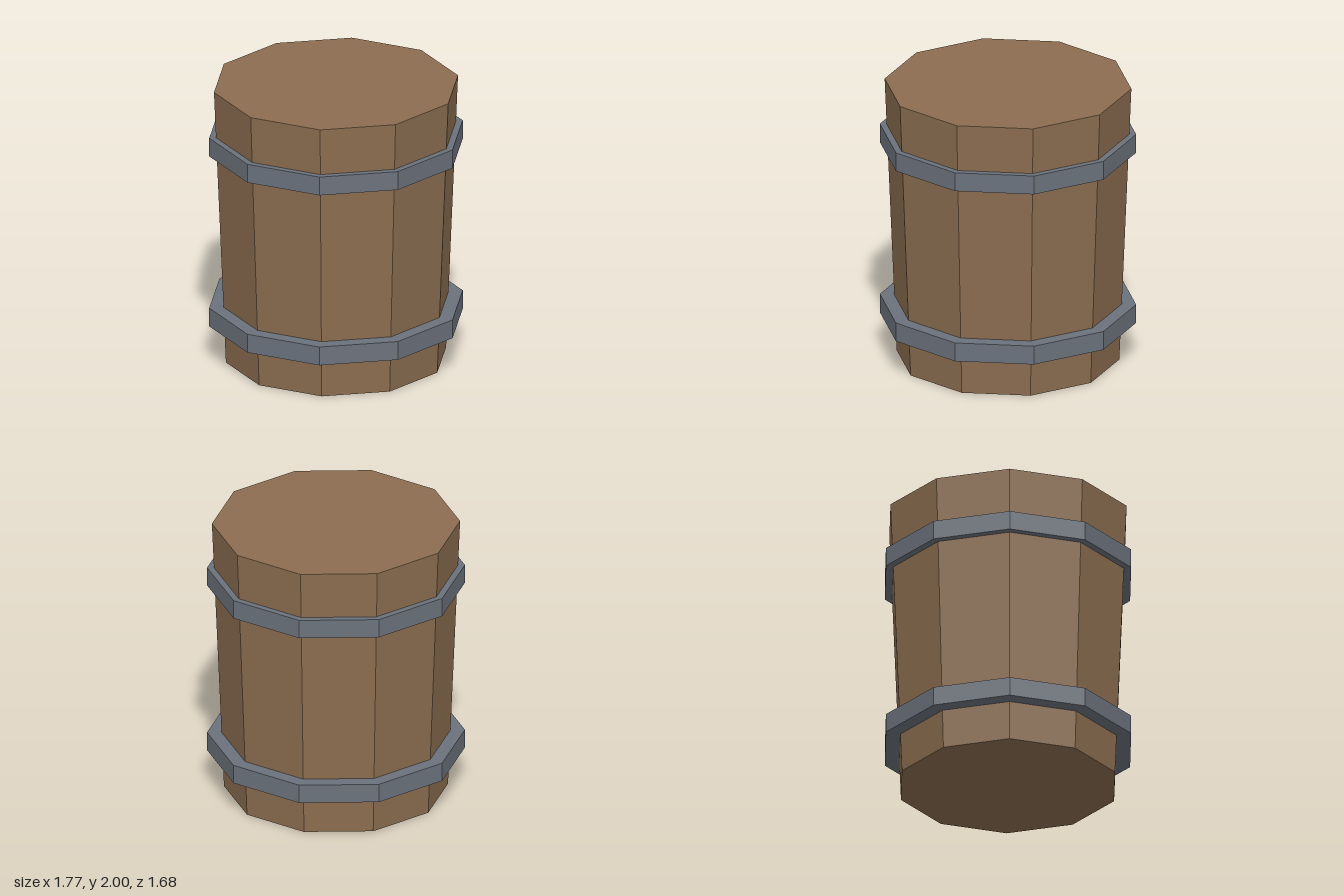
import * as THREE from 'three';

const SIDES = 10;

// Ten-sided drum standing between two heights, with corners on the x axis
function drum(name, topRadius, bottomRadius, y0, y1, material) {
  const geometry = new THREE.CylinderGeometry(topRadius, bottomRadius, y1 - y0, SIDES, 1, false, Math.PI / SIDES);
  const mesh = new THREE.Mesh(geometry.toNonIndexed(), material);
  mesh.geometry.computeVertexNormals(); // flat facets
  mesh.name = name;
  mesh.position.y = (y0 + y1) / 2;
  return mesh;
}

export function createModel() {
  const wood = new THREE.MeshStandardMaterial({ color: 0x8b6d50 });
  wood.name = 'wood';
  const iron = new THREE.MeshStandardMaterial({ color: 0x6b727c });
  iron.name = 'iron';

  const barrel = new THREE.Group();
  barrel.name = 'barrel';

  // Tapered wooden body, wider at the top
  barrel.add(drum('body', 0.85, 0.767, 0, 2, wood));

  // Iron hoops
  barrel.add(drum('lowerHoop', 0.883, 0.883, 0.275, 0.41, iron));
  barrel.add(drum('upperHoop', 0.883, 0.883, 1.53, 1.665, iron));

  return barrel;
}
